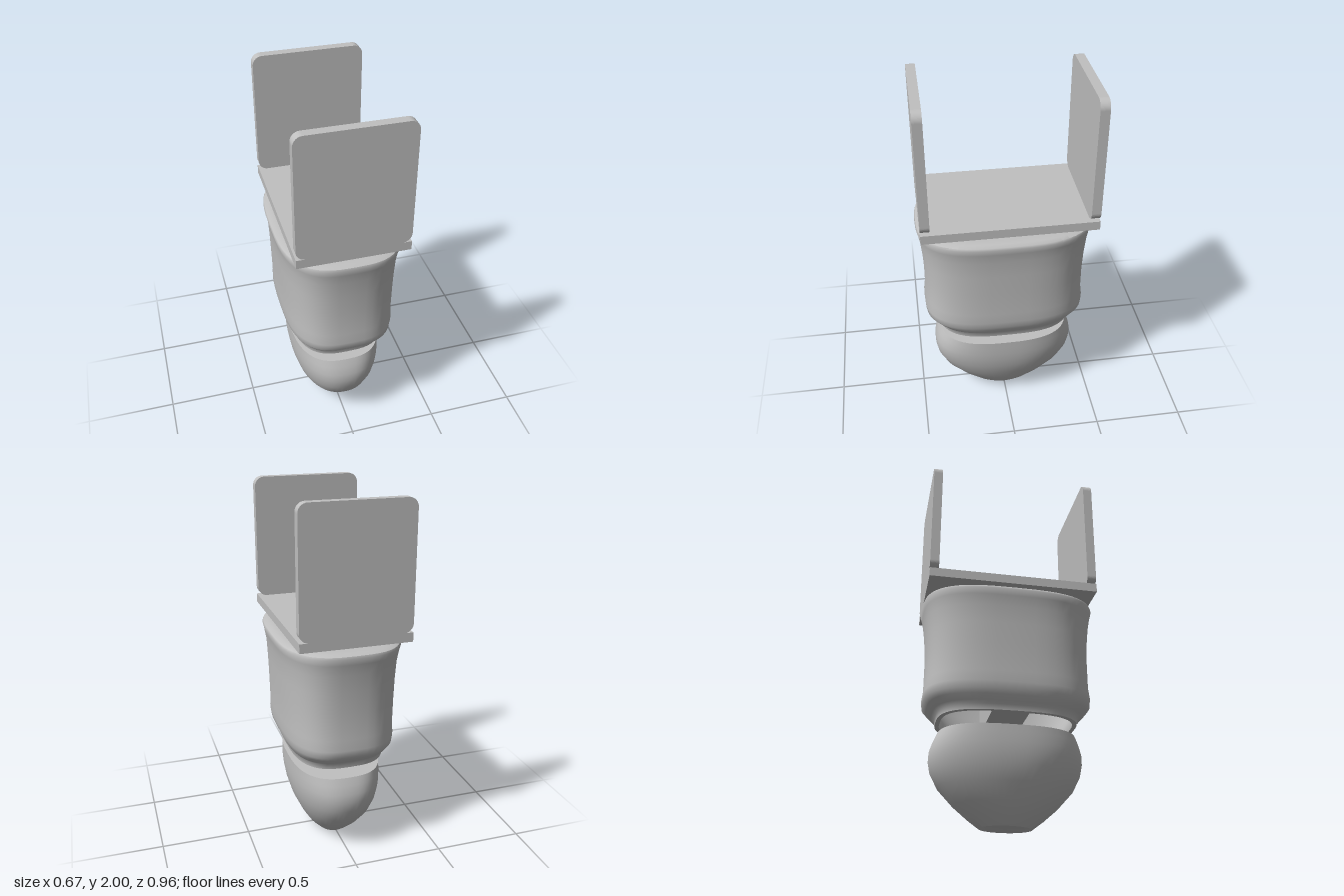
import * as THREE from 'three';
import { toCreasedNormals } from 'three/addons/utils/BufferGeometryUtils.js';

const SIDES = 56;

// Lofts superellipse rings [y, half width x, half depth z, exponent]; a ring of width 0 closes the skin
function loft(rings, crease) {
  const pos = [], idx = [];
  for (const [y, a, b, n] of rings) {
    for (let i = 0; i < SIDES; i++) {
      const t = (i / SIDES) * Math.PI * 2, c = Math.cos(t), s = Math.sin(t);
      pos.push(a * Math.sign(c) * Math.abs(c) ** (2 / n), y, b * Math.sign(s) * Math.abs(s) ** (2 / n));
    }
  }
  for (let r = 0; r < rings.length - 1; r++) {
    for (let i = 0; i < SIDES; i++) {
      const j = (i + 1) % SIDES, lo = r * SIDES, hi = lo + SIDES;
      if (rings[r][1] > 0) idx.push(lo + i, hi + i, lo + j);
      if (rings[r + 1][1] > 0) idx.push(lo + j, hi + i, hi + j);
    }
  }
  const g = new THREE.BufferGeometry();
  g.setAttribute('position', new THREE.Float32BufferAttribute(pos, 3));
  g.setIndex(idx);
  return toCreasedNormals(g, crease);
}

// Upright plate with rounded corners, extruded along z
function roundedPlate(w, h, r, depth) {
  const x = w / 2, s = new THREE.Shape();
  s.moveTo(-x + r, 0);
  s.lineTo(x - r, 0);
  s.absarc(x - r, r, r, -Math.PI / 2, 0);
  s.absarc(x - r, h - r, r, 0, Math.PI / 2);
  s.absarc(-x + r, h - r, r, Math.PI / 2, Math.PI);
  s.absarc(-x + r, r, r, Math.PI, Math.PI * 1.5);
  return new THREE.ExtrudeGeometry(s, { depth, bevelEnabled: false, curveSegments: 8 });
}

export function createModel() {
  const group = new THREE.Group();
  const grey = new THREE.MeshStandardMaterial({ color: 0xc0c0c0 });
  grey.name = 'plain grey';
  const add = (name, geometry, x, y, z) => {
    const m = new THREE.Mesh(geometry, grey);
    m.name = name;
    m.position.set(x, y, z);
    group.add(m);
  };

  // Rounded lower tip with a flat top
  add('lowerTip', loft([
    [0, 0, 0, 2], [0, 0.09, 0.14, 2], [0.045, 0.13, 0.2, 2], [0.11, 0.17, 0.275, 2.1],
    [0.2, 0.213, 0.357, 2.2], [0.28, 0.237, 0.397, 2.3], [0.34, 0.246, 0.408, 2.4],
    [0.39, 0.25, 0.405, 2.5], [0.44, 0.25, 0.388, 2.6], [0.48, 0.25, 0.37, 2.7], [0.48, 0, 0, 2.7],
  ], 0.7), 0, 0, 0);

  // Hollow sleeve: inner skin downwards, then outer skin upwards to the top
  add('sleeve', loft([
    [1.2, 0, 0, 3], [1.2, 0.28, 0.42, 3], [0.68, 0.265, 0.41, 3], [0.6, 0.235, 0.355, 3],
    [0.55, 0.235, 0.355, 3], [0.55, 0.258, 0.378, 3], [0.58, 0.262, 0.382, 3],
    [0.595, 0.275, 0.4, 3], [0.625, 0.29, 0.43, 3], [0.65, 0.3, 0.452, 3], [0.69, 0.306, 0.455, 3],
    [0.75, 0.304, 0.447, 3], [0.9, 0.308, 0.446, 3], [1.02, 0.312, 0.451, 3], [1.12, 0.317, 0.461, 3],
    [1.18, 0.327, 0.471, 3], [1.215, 0.335, 0.48, 3], [1.228, 0.33, 0.476, 3],
    [1.237, 0.31, 0.455, 3], [1.24, 0.28, 0.42, 3], [1.24, 0, 0, 3],
  ], 0.8), 0, 0, 0);

  // Flat bar running through the sleeve up to the bracket
  add('innerBar', new THREE.BoxGeometry(0.5, 0.69, 0.2), 0, 0.925, 0);

  // U-shaped bracket
  add('bracketBase', new THREE.BoxGeometry(0.6, 0.05, 0.93), 0, 1.295, -0.005);
  add('frontBracketPlate', roundedPlate(0.6, 0.68, 0.05, 0.05), 0, 1.32, 0.41);
  add('backBracketPlate', roundedPlate(0.6, 0.68, 0.05, 0.05), 0, 1.32, -0.47);

  return group;
}
